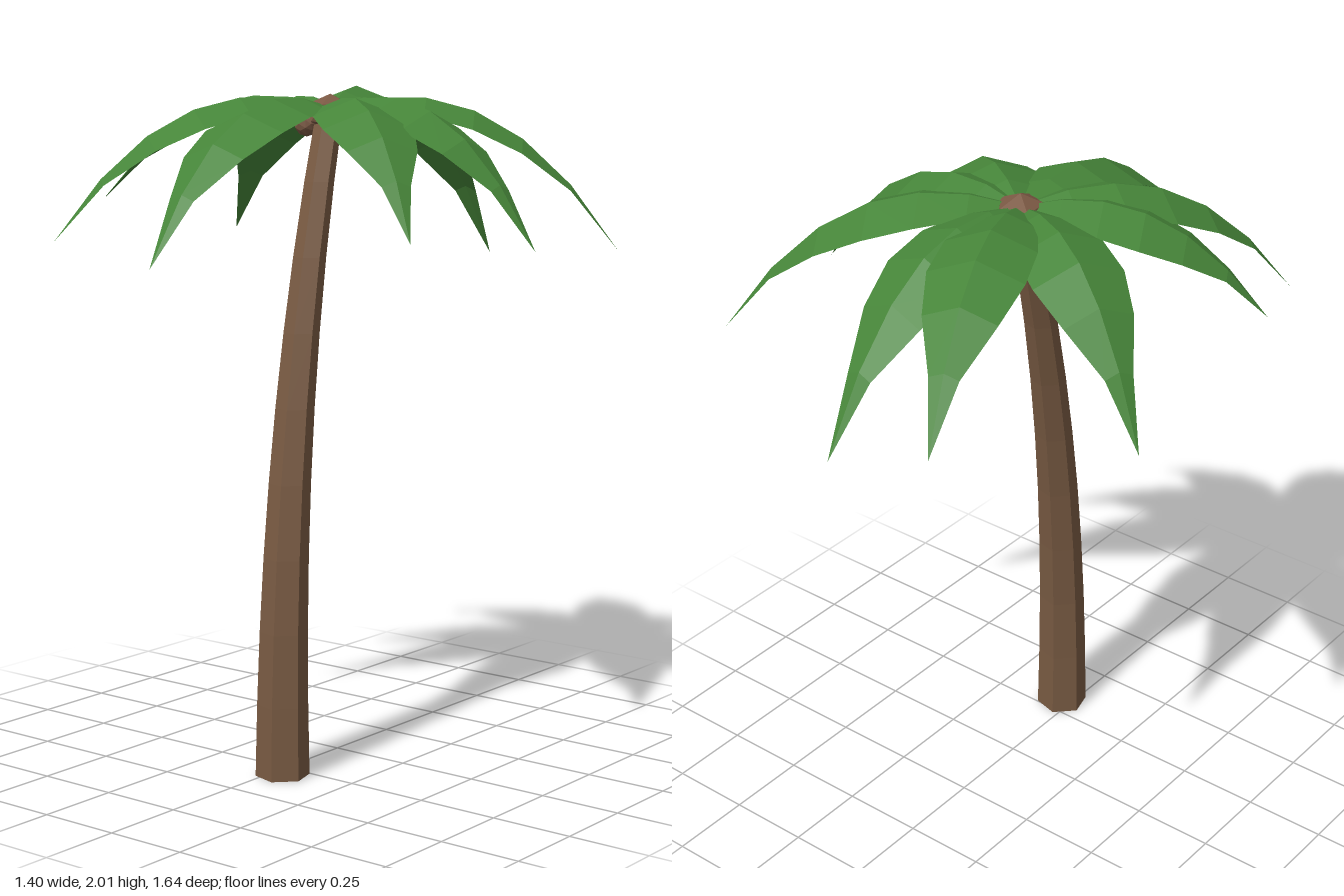
import * as THREE from 'three';

const paint = (name, color, extra = {}) => {
  const material = new THREE.MeshStandardMaterial({ color, flatShading: true, ...extra });
  material.name = name;
  return material;
};

const CROWN = new THREE.Vector3(-0.05, 1.95, -0.03);

// Tapered six-sided trunk, bent sideways by a power rule
function trunkGeometry() {
  const g = new THREE.CylinderGeometry(0.04, 0.08, CROWN.y, 6, 9, false, Math.PI / 12);
  g.translate(0, CROWN.y / 2, 0);
  const p = g.attributes.position;
  for (let i = 0; i < p.count; i++) {
    const u = THREE.MathUtils.clamp(p.getY(i) / CROWN.y, 0, 1);
    p.setXYZ(
      i,
      p.getX(i) + 0.0375 - 0.0875 * u ** 2,
      u * CROWN.y,
      p.getZ(i) + 0.31 - 0.34 * u ** 2.15
    );
  }
  g.computeVertexNormals();
  return g;
}

// Folded leaf that arches from the crown to a single tip point
const HALF_WIDTHS = [0.025, 0.09, 0.13, 0.136, 0.104, 0.042];
function frondGeometry([tx, ty, tz, rise = 0.236]) {
  const dx = tx - CROWN.x, dz = tz - CROWN.z, length = Math.hypot(dx, dz);
  const cubic = ty - CROWN.y - rise + 0.374;
  const rows = HALF_WIDTHS.length;
  const pos = [], index = [];
  HALF_WIDTHS.forEach((w, row) => {
    const t = row / rows;
    const y = CROWN.y + rise * t - 0.374 * t * t + cubic * t ** 3;
    for (const side of [-1, 0, 1]) {
      pos.push(
        CROWN.x + dx * t - (dz / length) * w * side,
        y - Math.abs(side) * w * 0.38,
        CROWN.z + dz * t + (dx / length) * w * side
      );
    }
    for (let k = 0; k < 2; k++) {
      const a = row * 3 + k, b = a + 3;
      if (row < rows - 1) index.push(a, a + 1, b + 1, a, b + 1, b);
      else index.push(a, a + 1, rows * 3);
    }
  });
  pos.push(tx, ty, tz);
  // Corners run so that the upper side is the front
  index.reverse();
  const g = new THREE.BufferGeometry();
  g.setAttribute('position', new THREE.Float32BufferAttribute(pos, 3));
  g.setIndex(index);
  g.computeVertexNormals();
  return g;
}

export function createModel() {
  const model = new THREE.Group();
  model.name = 'palmTree';
  const bark = paint('bark brown', 0x785a42);
  const leaf = paint('leaf green', 0x468539, { side: THREE.DoubleSide });
  const nut = paint('coconut brown', 0x7b5944);

  const add = (name, geometry, material, parent = model) => {
    const mesh = new THREE.Mesh(geometry, material);
    mesh.name = name;
    parent.add(mesh);
    return mesh;
  };

  add('trunk', trunkGeometry(), bark);

  // Tip x, y, z and optional rise of each frond
  const tips = [
    [-0.37, 1.62, -0.82, 0.33],
    [0, 1.47, -0.8],
    [0.67, 1.53, -0.49],
    [0.7, 1.56, 0],
    [0.545, 1.595, 0.375],
    [0, 1.53, 0.82],
    [-0.515, 1.57, 0.665],
    [-0.67, 1.67, 0.295],
    [-0.705, 1.545, -0.363],
  ];
  const fronds = new THREE.Group();
  fronds.name = 'fronds';
  model.add(fronds);
  tips.forEach((tip, i) => add(`frond${i + 1}`, frondGeometry(tip), leaf, fronds));

  // Faceted bud, one corner pointing up
  const bud = add('crownBud', new THREE.IcosahedronGeometry(0.078, 0).rotateZ(-0.5536), nut);
  bud.scale.y = 0.72;
  bud.position.set(CROWN.x, 1.932, CROWN.z);

  // Coconuts under the crown
  for (let i = 0; i < 3; i++) {
    const a = 0.45 + (i * Math.PI * 2) / 3;
    const coconut = add(`coconut${i + 1}`, new THREE.IcosahedronGeometry(0.038, 1), nut);
    coconut.position.set(CROWN.x + Math.cos(a) * 0.07, 1.9, CROWN.z + Math.sin(a) * 0.07);
  }
  return model;
}
